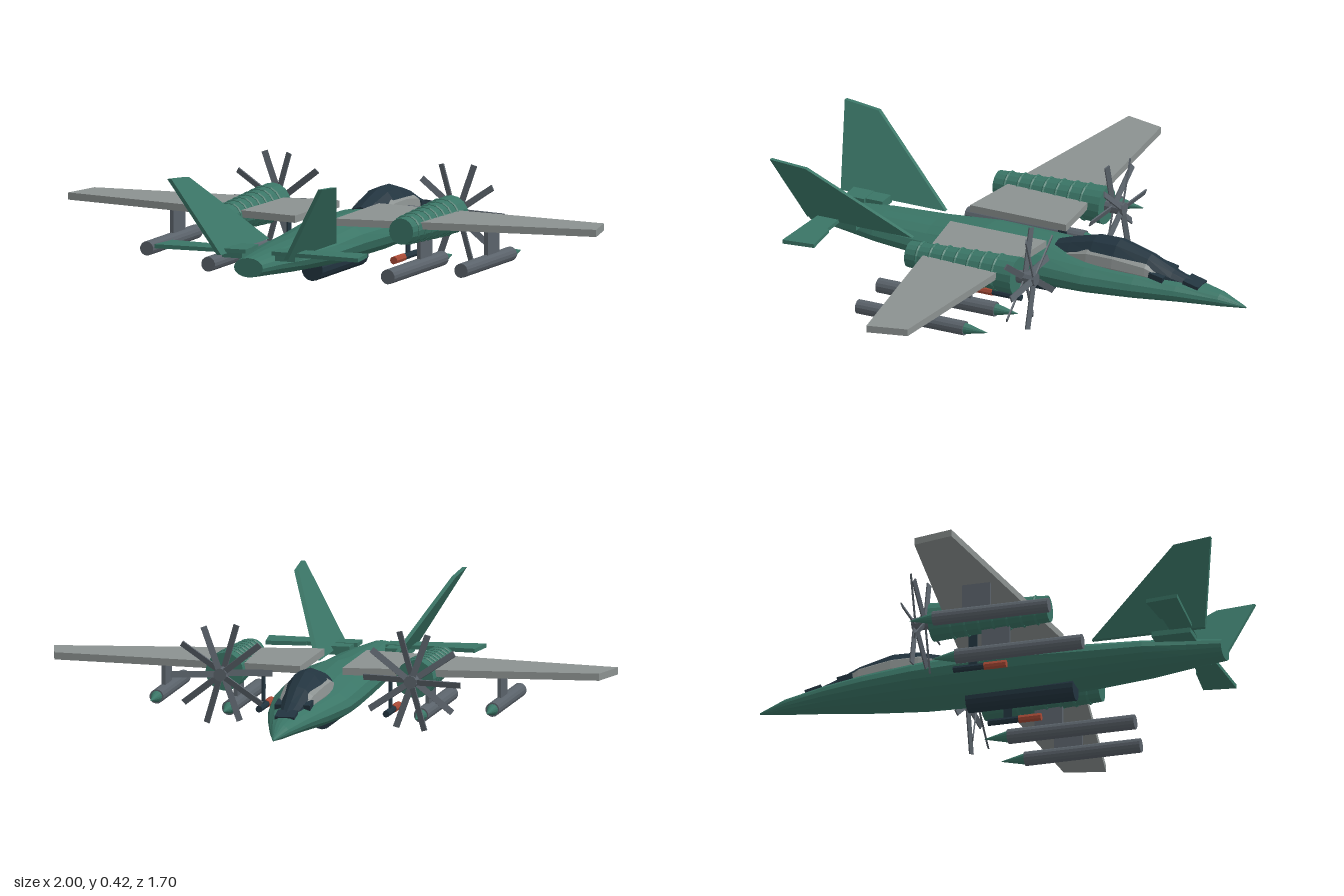
import * as THREE from 'three';

const mat = (name, color, flat = true) => {
  const m = new THREE.MeshStandardMaterial({ color, flatShading: flat });
  m.name = name;
  return m;
};

export function createModel() {
  const green = mat('green paint', 0x3a7566);
  const wingGrey = mat('wing grey', 0x8b9190);
  const steel = mat('steel grey', 0x5a626a);
  const navy = mat('dark navy', 0x22343f);
  const red = mat('red', 0xa84a36);

  const root = new THREE.Group();
  root.name = 'aircraft';
  const add = (name, geo, material, x = 0, y = 0, z = 0, parent = root) => {
    const m = new THREE.Mesh(geo, material);
    m.name = name;
    m.position.set(x, y, z);
    parent.add(m);
    return m;
  };

  // Loft along z; sections are [z, halfWidth, bottom, top], rounded by power p
  const loft = (sections, n, p = 1) => {
    const pos = [], idx = [];
    const pw = (v) => Math.sign(v) * Math.abs(v) ** p;
    for (const [z, w, b, t] of sections)
      for (let j = 0; j < n; j++) {
        const a = (j / n) * Math.PI * 2;
        pos.push(w * pw(Math.cos(a)), (b + t) / 2 + ((t - b) / 2) * pw(Math.sin(a)), z);
      }
    const last = (sections.length - 1) * n;
    for (let i = 0; i < last; i += n)
      for (let j = 0; j < n; j++) {
        const k = (j + 1) % n;
        idx.push(i + j, i + k, i + n + k, i + j, i + n + k, i + n + j);
      }
    for (let j = 1; j < n - 1; j++) idx.push(0, j + 1, j, last, last + j, last + j + 1);
    const g = new THREE.BufferGeometry();
    g.setAttribute('position', new THREE.Float32BufferAttribute(pos, 3));
    g.setIndex(idx);
    g.computeVertexNormals();
    return g;
  };

  const extrude = (pts, depth) => new THREE.ExtrudeGeometry(
    new THREE.Shape(pts.map(([u, v]) => new THREE.Vector2(u, v))), { depth, bevelEnabled: false });
  // Horizontal plate from [x, z] corners
  const slab = (pts, s, y, h) =>
    extrude(pts.map(([x, z]) => [x * s, -z]), h).rotateX(-Math.PI / 2).translate(0, y, 0);
  // Cylinder along z between z0 and z1
  const tube = (r0, r1, z0, z1, n = 14) =>
    new THREE.CylinderGeometry(r1, r0, z1 - z0, n).rotateX(Math.PI / 2).translate(0, 0, (z0 + z1) / 2);
  const box = (x, y, z) => new THREE.BoxGeometry(x, y, z);

  // Fuselage, nose towards -z
  add('fuselage', loft([
    [-0.845, 0.002, 0.088, 0.094], [-0.75, 0.035, 0.08, 0.13], [-0.6, 0.075, 0.073, 0.155],
    [-0.45, 0.11, 0.062, 0.172], [-0.27, 0.14, 0.053, 0.185], [-0.1, 0.145, 0.047, 0.2],
    [0.15, 0.14, 0.05, 0.205], [0.35, 0.13, 0.062, 0.185], [0.55, 0.11, 0.075, 0.178],
    [0.7, 0.075, 0.086, 0.172], [0.82, 0.055, 0.095, 0.163],
  ], 16), green);

  // Canopy, side windows and nose steps
  add('canopy', loft([
    [-0.64, 0.03, 0.1, 0.155], [-0.57, 0.042, 0.1, 0.18], [-0.48, 0.057, 0.09, 0.22],
    [-0.36, 0.07, 0.08, 0.252], [-0.27, 0.071, 0.08, 0.25], [-0.18, 0.064, 0.09, 0.225],
    [-0.12, 0.055, 0.1, 0.205],
  ], 12), navy);
  add('sideWindows', loft([
    [-0.54, 0.05, 0.12, 0.168], [-0.48, 0.062, 0.12, 0.2], [-0.36, 0.075, 0.12, 0.219],
    [-0.26, 0.076, 0.12, 0.219], [-0.18, 0.068, 0.12, 0.196],
  ], 12, 0.55), wingGrey);
  add('nosePlate', box(0.07, 0.02, 0.06), navy, 0, 0.143, -0.645).rotation.x = -0.25;
  for (const s of [1, -1])
    add('sightBox', box(0.025, 0.02, 0.055), navy, s * 0.05, 0.162, -0.525).rotation.x = -0.2;

  // Belly tank
  add('bellyTank', tube(0.04, 0.04, -0.1, 0.285), navy, 0, 0.045, 0);

  // Weapon pod with a pointed green nose
  const pod = (name, x, y, r, z0, z1) => {
    add(name, tube(r, r, z0, z1), steel, x, y, 0);
    add(name + 'Nose', tube(0.001, r * 0.8, z0 - 0.085, z0), green, x, y, 0);
  };

  for (const s of [1, -1]) {
    const side = s > 0 ? 'left' : 'right';

    // Wing, stabiliser and their root fairing
    add(side + 'Wing', slab([[0.075, -0.11], [0.965, -0.025], [1, 0.117], [0.075, 0.262]],
      s, 0.2, 0.025), wingGrey);
    add(side + 'Stabiliser', slab([[0.05, 0.66], [0.23, 0.66], [0.23, 0.652], [0.37, 0.64],
      [0.385, 0.755], [0.05, 0.735]], s, 0.163, 0.014), green);
    add(side + 'TailFairing', box(0.075, 0.03, 0.14), green, s * 0.1, 0.16, 0.665);

    // Canted tail fin: an upright plate sheared outwards
    const fin = extrude([[-0.38, 0.16], [-0.785, 0.16], [-0.85, 0.425], [-0.715, 0.413]], 0.016)
      .rotateY(Math.PI / 2).translate(-0.008, 0, 0);
    const p = fin.attributes.position;
    for (let i = 0; i < p.count; i++) p.setX(i, p.getX(i) + s * (0.13 + (p.getY(i) - 0.165) * 0.6));
    fin.computeVertexNormals();
    add(side + 'Fin', fin, green);

    // Ribbed engine nacelle
    const engine = new THREE.Group();
    engine.name = side + 'Engine';
    engine.position.set(s * 0.337, 0.2, 0);
    root.add(engine);
    add('nacelle', tube(0.067, 0.046, -0.135, 0.285, 16), green, 0, 0, 0, engine);
    for (let i = 0; i < 7; i++) {
      const z = -0.06 + i * 0.05;
      const r = 0.067 - 0.05 * (z + 0.135);
      add('rib', new THREE.TorusGeometry(r, 0.005, 5, 16), green, 0, 0, z, engine);
    }
    add('propShaft', tube(0.023, 0.023, -0.205, -0.135, 10), steel, 0, 0, 0, engine);

    // Two counter-rotating five-blade propellers
    for (const k of [0, 1]) {
      const prop = new THREE.Group();
      prop.name = k ? 'frontPropeller' : 'rearPropeller';
      prop.position.z = k ? -0.195 : -0.16;
      engine.add(prop);
      for (let i = 0; i < 5; i++) {
        const g = box(0.022, 0.16, 0.005).rotateY(k ? 0.35 : -0.35).translate(0, 0.096, 0);
        add('blade', g, steel, 0, 0, 0, prop).rotation.z =
          s * (0.28 + k * Math.PI / 5 + i * Math.PI * 0.4);
      }
    }

    // Underwing stores and pylons
    pod(side + 'InnerPod', s * 0.34, 0.059, 0.026, -0.05, 0.405);
    add(side + 'InnerPylon', box(0.014, 0.09, 0.1), steel, s * 0.34, 0.115, 0.095);
    pod(side + 'OuterPod', s * 0.595, 0.09, 0.025, -0.06, 0.355);
    add(side + 'OuterPylon', box(0.014, 0.1, 0.1), steel, s * 0.595, 0.155, 0.095);

    // Small missile between body and engine
    add(side + 'MissileBody', tube(0.012, 0.012, -0.09, 0.02, 8), navy, s * 0.225, 0.065, 0);
    add(side + 'MissileTail', tube(0.014, 0.014, 0.02, 0.1, 8), red, s * 0.225, 0.065, 0);
    add(side + 'MissileStrut', box(0.006, 0.13, 0.03), navy, s * 0.225, 0.138, -0.02);
  }
  return root;
}
